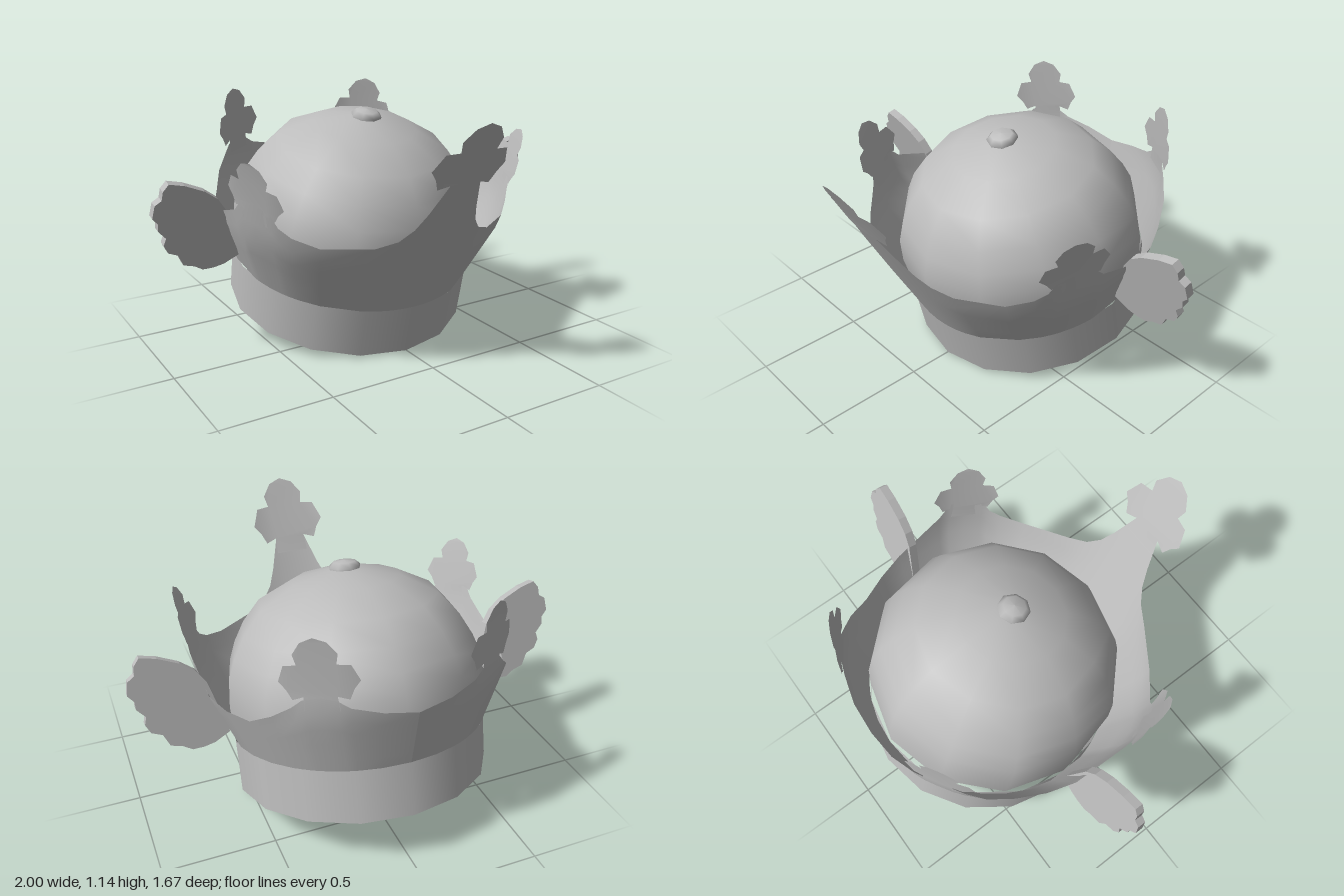
import * as THREE from 'three';

const rad = THREE.MathUtils.degToRad;
const lerp = THREE.MathUtils.lerp;

// Radius of the flared wall at an angle (0 = front) and a height; the front is straighter
function wallRadius(angle, h) {
  const middle = 0.69 - 0.038 * Math.max(0, Math.cos(angle)) ** 4;
  const stops = [[0.24, 0.575], [0.52, middle], [0.87, 0.75], [1.23, 0.85]];
  let i = 0;
  while (i < 2 && h > stops[i + 1][0]) i++;
  const [h0, r0] = stops[i], [h1, r1] = stops[i + 1];
  return lerp(r0, r1, (h - h0) / (h1 - h0));
}

function wallPoint(angle, h) {
  const r = wallRadius(angle, h);
  return [r * Math.sin(angle), h, r * Math.cos(angle)];
}

// Rim of one half of the crown: angle in degrees, height
const RIM = [[0, 0.95], [5.5, 0.94], [9.4, 0.8], [12.5, 0.72], [17, 0.66], [25, 0.62], [43, 0.592],
  [53, 0.611], [58, 0.64], [61, 0.69], [68, 0.71], [74, 0.7], [78, 0.63], [97, 0.504], [108, 0.475], [120, 0.464],
  [131, 0.515], [139, 0.565], [143, 0.6], [149, 0.61], [154, 0.595], [158, 0.56], [168, 0.525], [180, 0.497]];

function buildWall() {
  const columns = [...RIM.slice(1).reverse().map(([a, h]) => [-a, h]), ...RIM];
  const rows = 5, pos = [], index = [];
  columns.forEach(([a, top], c) => {
    for (let k = 0; k <= rows; k++) pos.push(...wallPoint(rad(a), lerp(0.24, top, k / rows)));
    if (c === 0) return;
    for (let k = 0; k < rows; k++) {
      const p = (c - 1) * (rows + 1) + k, q = p + rows + 1;
      index.push(p, q, q + 1, p, q + 1, p + 1);
    }
  });
  const g = new THREE.BufferGeometry();
  g.setAttribute('position', new THREE.Float32BufferAttribute(pos, 3));
  g.setIndex(index);
  g.computeVertexNormals();
  return g;
}

// Half outline of a three-lobed finial, from its foot to its tip
const FINIAL = [[0.07, -0.05], [0.065, 0.015], [0.11, 0], [0.13, 0.045], [0.157, 0.08], [0.128, 0.15],
  [0.075, 0.155], [0.085, 0.2], [0.05, 0.25], [0, 0.27]];

// Finial bent onto the wall surface
function buildFinial(angle, bottom, width, height) {
  const half = FINIAL.map(([w, t]) => new THREE.Vector2(w * width, bottom + t * height));
  const other = half.slice(0, -1).reverse().map(p => new THREE.Vector2(-p.x, p.y));
  const g = new THREE.ShapeGeometry(new THREE.Shape([...half, ...other]));
  const p = g.attributes.position;
  for (let i = 0; i < p.count; i++) {
    const h = p.getY(i);
    p.setXYZ(i, ...wallPoint(angle + p.getX(i) / wallRadius(angle, h), h));
  }
  g.computeVertexNormals();
  return g;
}

// Side wing with a scalloped outer edge
const WING = [[0.6, 0.31], [0.67, 0.275], [0.72, 0.265], [0.77, 0.265], [0.81, 0.29], [0.86, 0.305], [0.885, 0.36],
  [0.93, 0.38], [0.95, 0.42], [0.94, 0.455], [0.975, 0.495], [0.975, 0.53], [1.0, 0.56], [0.99, 0.62],
  [0.96, 0.64], [0.955, 0.68], [0.93, 0.712], [0.86, 0.695], [0.77, 0.655], [0.71, 0.61], [0.67, 0.55]];

function buildWing(side) {
  const shape = new THREE.Shape(WING.map(([x, y]) => new THREE.Vector2(side * x, y)));
  const g = new THREE.ExtrudeGeometry(shape, { depth: 0.04, bevelEnabled: false });
  return g.translate(0, 0, -0.036);
}

const lathe = (points, sides) =>
  new THREE.LatheGeometry(points.map(([r, h]) => new THREE.Vector2(r, h)), sides);

export function createModel() {
  const grey = new THREE.MeshStandardMaterial({ color: 0xbcbcbc, side: THREE.DoubleSide });
  grey.name = 'grey';
  const model = new THREE.Group();
  model.name = 'crown';
  const tilted = new THREE.Group();
  tilted.name = 'tiltedCrown';
  tilted.rotation.x = rad(13.07);
  tilted.position.set(0, 0.13, -0.27);
  model.add(tilted);

  const add = (name, geometry) => {
    const mesh = new THREE.Mesh(geometry, grey);
    mesh.name = name;
    tilted.add(mesh);
  };

  // Head band and flared wall
  add('headBand', lathe([[0.575, 0], [0.575, 0.24]], 16));
  add('flaredWall', buildWall());

  // Padded cap and its button
  add('cap', lathe([[0.57, 0.26], [0.582, 0.4], [0.57, 0.52], [0.537, 0.607], [0.485, 0.7], [0.4, 0.8],
    [0.24, 0.885], [0.08, 0.925], [0, 0.93]], 12));
  add('capButton', lathe([[0.06, 0.9], [0.072, 0.935], [0.05, 0.955], [0, 0.962]], 8));

  // Finials: a tall one in front, then mirrored pairs
  add('frontFinial', buildFinial(0, 0.925, 1.15, 1.13));
  for (const [side, label] of [[1, 'left'], [-1, 'right']]) {
    add(label + 'SideFinial', buildFinial(side * rad(68), 0.665, 1, 0.88));
    add(label + 'BackFinial', buildFinial(side * rad(149), 0.6, 1, 0.96));
    add(label + 'Wing', buildWing(side));
  }
  return model;
}
